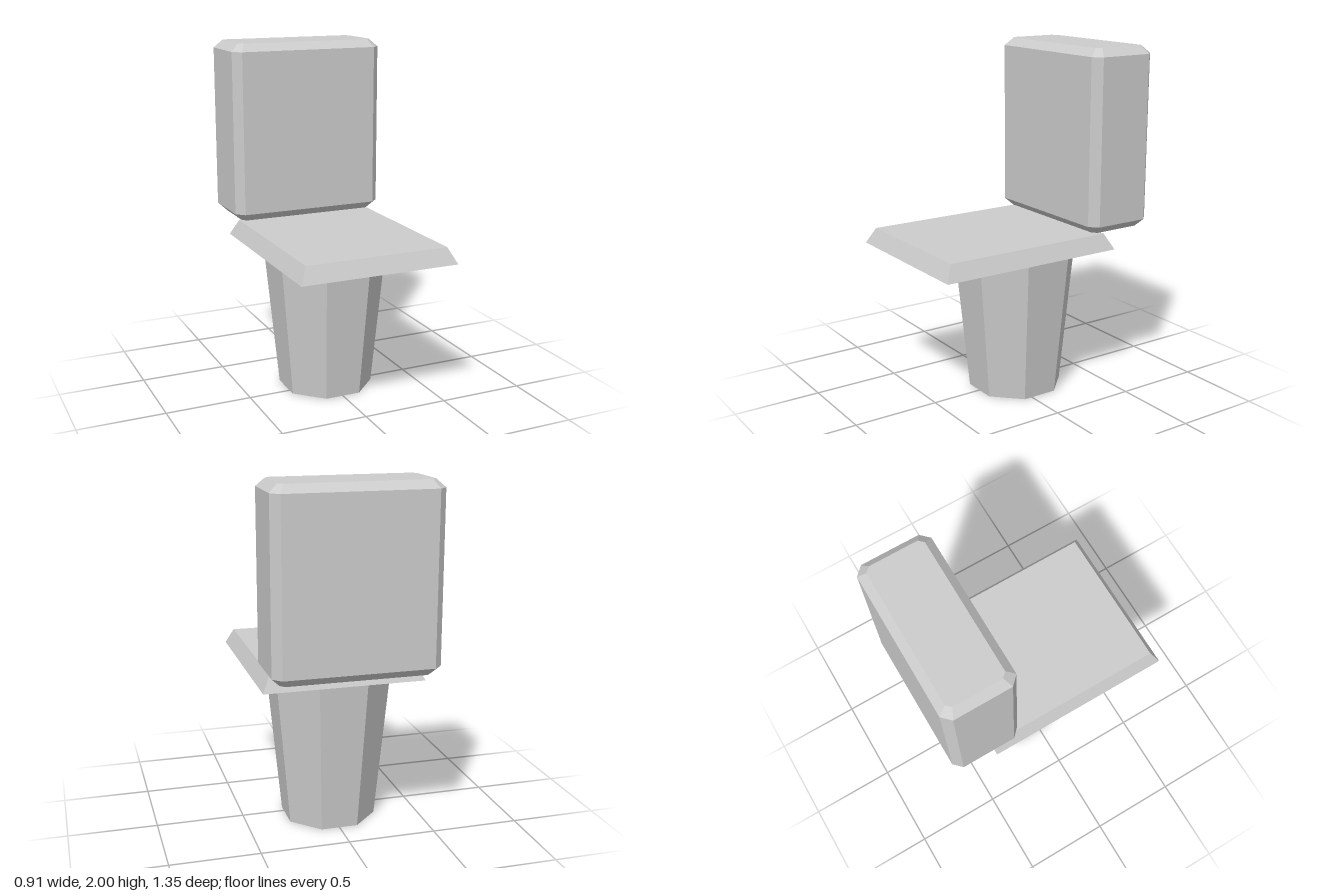
import * as THREE from 'three';
import { ConvexGeometry } from 'three/addons/geometries/ConvexGeometry.js';

// Rectangle outline at height y with its corners cut off by `cut`
function ring(y, halfX, zBack, zFront, cut = 0) {
  const points = [];
  for (const sx of [-1, 1]) {
    for (const [z, inward] of [[zBack, 1], [zFront, -1]]) {
      points.push(new THREE.Vector3(sx * halfX, y, z + inward * cut));
      if (cut) points.push(new THREE.Vector3(sx * (halfX - cut), y, z));
    }
  }
  return points;
}

export function createModel() {
  const model = new THREE.Group();
  const ceramic = new THREE.MeshStandardMaterial({ color: 0xcccccc });
  ceramic.name = 'pale grey ceramic';
  ceramic.flatShading = true;

  const add = (name, geometry) => {
    const mesh = new THREE.Mesh(geometry, ceramic);
    mesh.name = name;
    model.add(mesh);
    return mesh;
  };

  // Tapered eight-sided pedestal, flat sides facing the axes
  const apothem = Math.cos(Math.PI / 8);
  const pedestal = add('pedestal', new THREE.CylinderGeometry(
    0.333 / apothem, 0.253 / apothem, 0.875, 8, 1, false, Math.PI / 8));
  pedestal.position.set(0, 0.4375, -0.055);

  // Seat slab with sloping edges
  add('seat', new ConvexGeometry([
    ...ring(0.875, 0.457, -0.42, 0.675),
    ...ring(0.965, 0.412, -0.375, 0.63),
  ]));

  // Upright tank with bevelled edges and corners
  add('tank', new ConvexGeometry([
    ...ring(0.975, 0.411, -0.63, -0.308, 0.026),
    ...ring(1.02, 0.457, -0.675, -0.262, 0.046),
    ...ring(1.956, 0.457, -0.675, -0.262, 0.046),
    ...ring(2, 0.411, -0.63, -0.308, 0.026),
  ]));

  return model;
}
